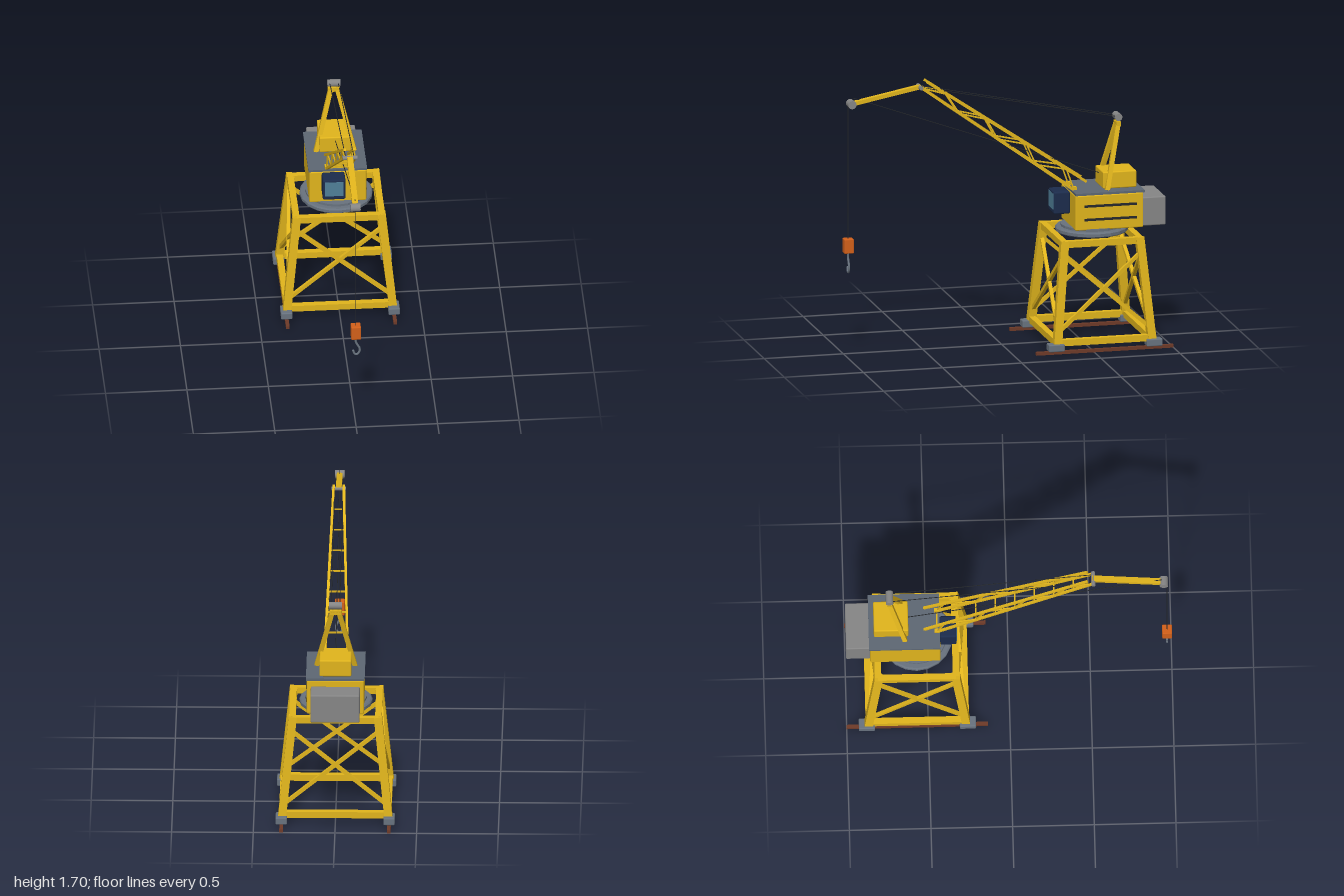
import * as THREE from 'three';
import { RoundedBoxGeometry } from 'three/addons/geometries/RoundedBoxGeometry.js';

const mat = (color) => new THREE.MeshStandardMaterial({ color });
const yellow = mat(0xe0b41c), steel = mat(0x68727e), grey = mat(0x858585), slate = mat(0x5d6773);
const dark = mat(0x25282c), navy = mat(0x1c2c4c), glass = mat(0x4f7f98), rust = mat(0x6e3a28), orange = mat(0xd2601a);
const V = (x, y, z) => new THREE.Vector3(x, y, z);

function add(parent, name, geometry, material, x = 0, y = 0, z = 0) {
  const m = new THREE.Mesh(geometry, material);
  m.name = name;
  m.position.set(x, y, z);
  parent.add(m);
  return m;
}

// box given by its centre and size, with optional softened edges
function box(parent, name, material, [x, y, z], [w, h, d], r = 0) {
  const g = r ? new RoundedBoxGeometry(w, h, d, 2, r) : new THREE.BoxGeometry(w, h, d);
  return add(parent, name, g, material, x, y, z);
}

// square bar from a to b
function bar(parent, name, a, b, w, h = w, material = yellow) {
  const d = b.clone().sub(a), c = a.clone().add(b).multiplyScalar(0.5);
  const m = box(parent, name, material, [c.x, c.y, c.z], [w, h, d.length()]);
  if (Math.abs(d.y) > 2 * Math.hypot(d.x, d.z)) m.up.set(0, 0, 1);
  m.lookAt(b);
  return m;
}

// thin round rope from a to b
function rope(parent, name, a, b) {
  return add(parent, name, new THREE.TubeGeometry(new THREE.LineCurve3(a, b), 1, 0.0025, 6), dark);
}

// sheave or pin lying along x
function pulley(parent, name, y, z, r, length, material = grey) {
  const g = new THREE.CylinderGeometry(r, r, length, 16).rotateZ(Math.PI / 2);
  return add(parent, name, g, material, 0, y, z);
}

function group(parent, name) {
  const g = new THREE.Group();
  g.name = name;
  parent.add(g);
  return g;
}

const CZ = -0.567; // slewing axis

function buildPortal(root) {
  const portal = group(root, 'portal');
  // point on the centre line of a leg at height y
  const leg = (sx, sz, y) => {
    const t = (y - 0.06) / 0.62;
    return V(sx * (0.325 - 0.063 * t), y, CZ + sz * (0.298 - 0.06 * t));
  };
  for (const sx of [-1, 1]) {
    box(portal, 'rail', rust, [sx * 0.33, 0.01, CZ], [0.022, 0.02, 0.866]);
    for (const sz of [-1, 1]) {
      box(portal, 'bogie', steel, [sx * 0.33, 0.043, CZ + sz * 0.309], [0.07, 0.046, 0.1], 0.007);
      bar(portal, 'leg', leg(sx, sz, 0.055), leg(sx, sz, 0.69), 0.05);
    }
  }
  // four sloping faces: beams and cross braces
  const corners = [[1, 1], [1, -1], [-1, -1], [-1, 1]];
  corners.forEach((a, i) => {
    const b = corners[(i + 1) % 4];
    bar(portal, 'bottomBeam', leg(...a, 0.07), leg(...b, 0.07), 0.04);
    bar(portal, 'topBeam', leg(...a, 0.672), leg(...b, 0.672), 0.04);
    bar(portal, 'crossBrace', leg(...a, 0.6), leg(...b, 0.13), 0.022);
    bar(portal, 'crossBrace', leg(...a, 0.13), leg(...b, 0.6), 0.022);
  });
  // slewing ring
  const ring = [[0, 0.688], [0.218, 0.688], [0.224, 0.694], [0.224, 0.712], [0.216, 0.72], [0.19, 0.72], [0.19, 0.735], [0, 0.735]];
  const ringMat = mat(0x68727e);
  ringMat.flatShading = true;
  add(portal, 'slewRing', new THREE.LatheGeometry(ring.map((p) => new THREE.Vector2(...p)), 20), ringMat, 0, 0, CZ);
}

function buildHouse(root) {
  const house = group(root, 'machineryHouse');
  box(house, 'houseBody', yellow, [0, 0.838, -0.637], [0.35, 0.22, 0.43], 0.008);
  box(house, 'roof', slate, [0, 0.956, -0.641], [0.36, 0.014, 0.436]);
  box(house, 'counterweight', grey, [0, 0.819, -0.925], [0.3, 0.18, 0.15], 0.008);
  box(house, 'winchHousing', yellow, [0, 1.017, -0.722], [0.195, 0.106, 0.212], 0.008);
  for (const y of [0.88, 0.795]) box(house, 'sideVent', dark, [0.175, y, -0.645], [0.008, 0.015, 0.33]);
  // operator cab
  box(house, 'cab', navy, [-0.03, 0.877, -0.372], [0.14, 0.142, 0.104], 0.012);
  box(house, 'cabWindow', glass, [-0.03, 0.885, -0.321], [0.112, 0.1, 0.006]);
  // A-frame
  for (const s of [-1, 1]) bar(house, 'aFrameLeg', V(s * 0.118, 0.96, -0.637), V(s * 0.018, 1.36, -0.732), 0.028);
  box(house, 'aFrameHead', yellow, [0, 1.352, -0.73], [0.075, 0.026, 0.03]);
  for (const s of [-1, 1]) box(house, 'sheaveBracket', yellow, [s * 0.018, 1.375, -0.73], [0.01, 0.03, 0.02]);
  pulley(house, 'aFrameSheave', 1.395, -0.73, 0.023, 0.08);
}

function buildBoom(root) {
  const boom = group(root, 'boom');
  const lower = (s, t) => V(s * (0.068 - 0.036 * t), 0.96 + 0.693 * t, -0.44 + 0.955 * t);
  const upper = (s, t) => V(s * (0.07 - 0.04 * t), 1.01 + 0.68 * t, -0.518 + 1.0 * t);
  for (const s of [-1, 1]) {
    bar(boom, 'lowerChord', lower(s, 0), lower(s, 1), 0.015);
    bar(boom, 'upperChord', upper(s, 0), upper(s, 1), 0.015);
    // zigzag lacing
    for (let i = 0; i < 4; i++) {
      const mid = upper(s, (i + 0.5) / 4);
      bar(boom, 'lacing', lower(s, i / 4), mid, 0.009);
      bar(boom, 'lacing', mid, lower(s, (i + 1) / 4), 0.009);
    }
    box(boom, 'boomFoot', yellow, [s * 0.068, 0.97, -0.44], [0.022, 0.026, 0.03]);
  }
  for (let i = 0; i <= 8; i++) bar(boom, 'rung', lower(-1, i / 8), lower(1, i / 8), 0.008);
  // jib
  bar(boom, 'jib', V(0, 1.655, 0.51), V(0, 1.572, 0.945), 0.036, 0.024);
  pulley(boom, 'jibPin', 1.653, 0.518, 0.013, 0.09);
  pulley(boom, 'tipSheave', 1.57, 0.95, 0.026, 0.06);
}

function buildRigging(root) {
  const rigging = group(root, 'rigging');
  for (const s of [-1, 1]) rope(rigging, 'stayRope', V(s * 0.026, 1.397, -0.73), V(s * 0.026, 1.655, 0.518));
  rope(rigging, 'hoistRope', V(0, 1.04, -0.63), V(0, 1.608, 0.94));
  rope(rigging, 'loadRope', V(0, 1.575, 0.97), V(0, 0.71, 0.97));
  box(rigging, 'hookBlock', orange, [0, 0.68, 0.97], [0.06, 0.09, 0.06], 0.005);
  const path = [[0, 0.64], [0, 0.605], [0.008, 0.585], [0.022, 0.56], [0.023, 0.535], [0.008, 0.514], [-0.006, 0.516], [-0.016, 0.54]];
  const curve = new THREE.CatmullRomCurve3(path.map(([x, y]) => V(x, y, 0.97)));
  add(rigging, 'hook', new THREE.TubeGeometry(curve, 28, 0.007, 8), steel);
  add(rigging, 'hookTip', new THREE.SphereGeometry(0.007, 8, 6), steel, -0.016, 0.54, 0.97);
}

export function createModel() {
  const root = new THREE.Group();
  root.name = 'portalCrane';
  buildPortal(root);
  buildHouse(root);
  buildBoom(root);
  buildRigging(root);
  return root;
}
